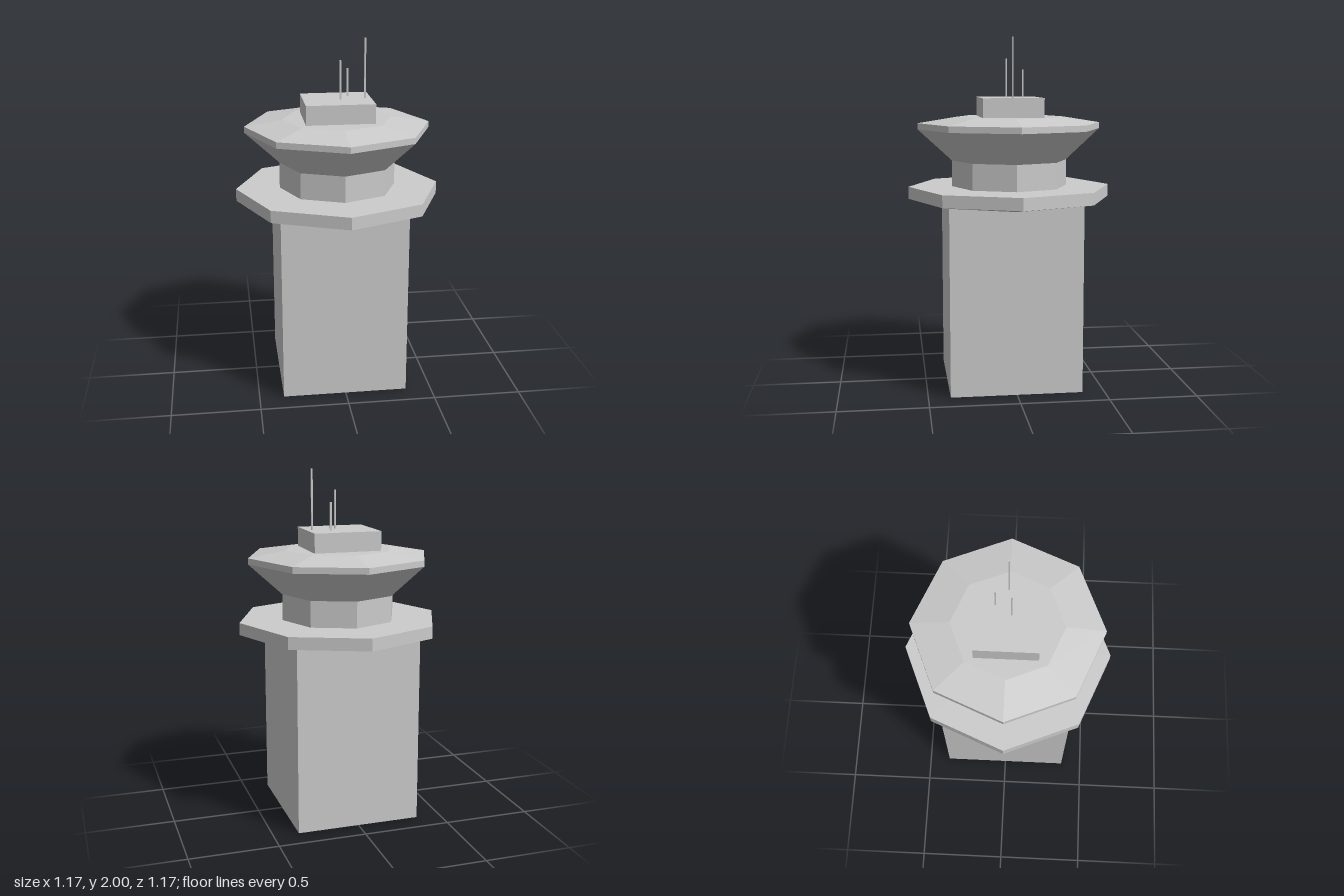
import * as THREE from 'three';

export function createModel() {
  const group = new THREE.Group();
  const material = new THREE.MeshStandardMaterial({ color: 0xcccccc, flatShading: true });

  const add = (name, geometry) => {
    const mesh = new THREE.Mesh(geometry, material);
    mesh.name = name;
    group.add(mesh);
    return mesh;
  };

  // Box given by its lower and upper corners
  const box = (name, [x0, y0, z0], [x1, y1, z1]) =>
    add(name, new THREE.BoxGeometry(x1 - x0, y1 - y0, z1 - z0))
      .position.set((x0 + x1) / 2, (y0 + y1) / 2, (z0 + z1) / 2);

  // Eight-sided solid from a [radius, height] profile, bottom to top, corners on the axes
  const octagon = (name, profile) =>
    add(name, new THREE.LatheGeometry(profile.map(([r, y]) => new THREE.Vector2(r, y)), 8));

  // Square shaft
  box('towerShaft', [-0.36, 0, -0.375], [0.355, 1.1, 0.375]);

  // Walkway with a shallow sloped underside
  octagon('walkway', [[0, 0.985], [0.587, 1.08], [0.587, 1.15], [0, 1.15]]);

  // Neck below the control room
  octagon('neck', [[0.335, 1.15], [0.335, 1.3]]);

  // Control room: flared windows, rim and shallow roof
  octagon('controlRoomWindows', [[0, 1.3], [0.335, 1.3], [0.53, 1.48]]);
  octagon('roof', [[0.53, 1.48], [0.53, 1.515], [0.312, 1.55], [0, 1.55]]);

  // Equipment box on the roof
  box('roofBox', [-0.196, 1.54, -0.175], [0.193, 1.66, 0.173]);

  // Antennas: x, z, top height
  const antennas = [[0.014, 0.02, 1.88], [0.067, -0.068, 1.82], [0.157, 0, 2]];
  for (const [x, z, top] of antennas) {
    box('antenna', [x - 0.005, 1.65, z - 0.004], [x + 0.005, top, z + 0.004]);
  }

  return group;
}
